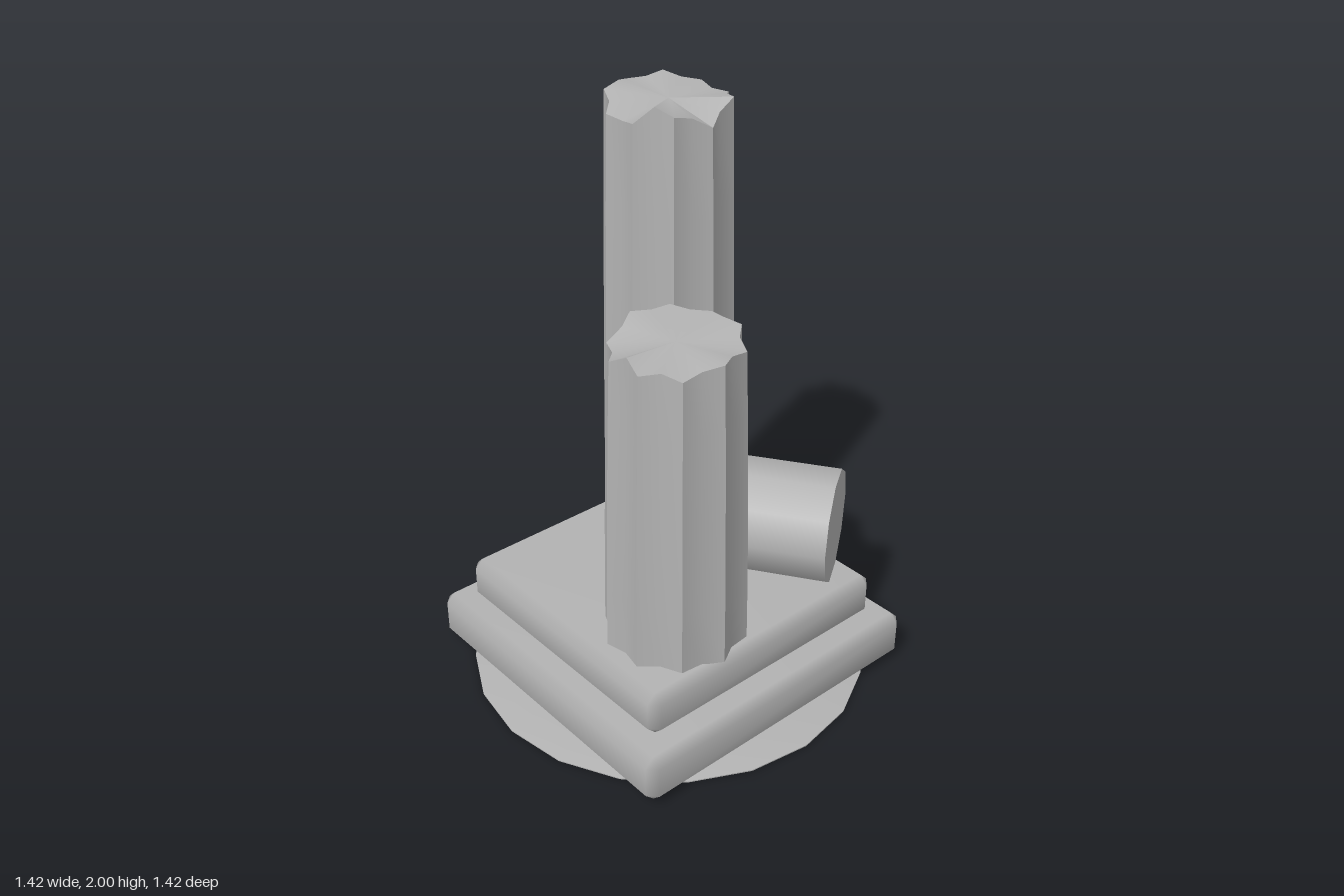
import * as THREE from 'three';
import { mergeVertices, toCreasedNormals } from 'three/addons/utils/BufferGeometryUtils.js';
import { ConvexGeometry } from 'three/addons/geometries/ConvexGeometry.js';

// Block with every edge chamfered by b and softly shaded
function chamferedBlock(w, h, d, b) {
  const points = [];
  for (const sx of [-1, 1]) for (const sy of [-1, 1]) for (const sz of [-1, 1]) {
    const x = w / 2, y = h / 2, z = d / 2;
    points.push(new THREE.Vector3(sx * x, sy * (y - b), sz * (z - b)));
    points.push(new THREE.Vector3(sx * (x - b), sy * y, sz * (z - b)));
    points.push(new THREE.Vector3(sx * (x - b), sy * (y - b), sz * z));
  }
  const hull = new ConvexGeometry(points);
  hull.deleteAttribute('normal');
  const geometry = mergeVertices(hull, 1e-4);
  geometry.computeVertexNormals();
  return geometry;
}

// Fluted, tapering shaft; rim holds the height of each point of the broken top
function brokenShaft(bottomRadius, topRadius, rim) {
  const n = rim.length, rows = 5, positions = [], index = [];
  for (let i = 0; i <= rows; i++) {
    const t = i / rows;
    const r = bottomRadius + (topRadius - bottomRadius) * Math.pow(t, 1.4);
    for (let k = 0; k < n; k++) {
      const a = (k / n) * Math.PI * 2;
      const radius = r * (k % 2 ? 0.885 : 1);
      positions.push(Math.cos(a) * radius, rim[k] * t, Math.sin(a) * radius);
    }
  }
  for (let i = 0; i < rows; i++) for (let k = 0; k < n; k++) {
    const a = i * n + k, b = i * n + (k + 1) % n;
    index.push(a, a + n, b + n, a, b + n, b);
  }
  // Rough cap across the break
  const centre = positions.length / 3;
  positions.push(0, rim.reduce((s, h) => s + h, 0) / n, 0);
  for (let k = 0; k < n; k++) index.push(centre, rows * n + (k + 1) % n, rows * n + k);

  const geometry = new THREE.BufferGeometry();
  geometry.setAttribute('position', new THREE.Float32BufferAttribute(positions, 3));
  geometry.setIndex(index);
  return toCreasedNormals(geometry, 0.6);
}

export function createModel() {
  const group = new THREE.Group();
  const stone = new THREE.MeshStandardMaterial({ color: 0xb2b2b2 });
  stone.name = 'stone';

  const add = (name, geometry, x, y, z) => {
    const mesh = new THREE.Mesh(geometry, stone);
    mesh.name = name;
    mesh.position.set(x, y, z);
    group.add(mesh);
    return mesh;
  };

  // Low mound of earth under the plinth
  const mound = [[0, 0], [0.71, 0], [0.71, 0.004], [0.59, 0.026], [0, 0.03]];
  add('groundMound', toCreasedNormals(
    new THREE.LatheGeometry(mound.map(([x, y]) => new THREE.Vector2(x, y)), 20), 0.6), 0, 0, 0);

  // Two-step plinth
  add('lowerStep', chamferedBlock(1.195, 0.178, 1.19, 0.032), -0.003, 0.098, -0.01);
  add('upperStep', chamferedBlock(1.025, 0.164, 1.025, 0.032), -0.002, 0.268, -0.008);

  // Standing columns with jagged tops
  const base = 0.348;
  const tallRim = [1.925, 1.96, 1.975, 2, 1.945, 1.935, 1.945, 1.965, 1.985, 2,
    1.985, 1.99, 2, 1.985, 1.975, 1.965, 1.965, 1.98, 1.99, 1.955];
  const shortRim = [1.435, 1.42, 1.405, 1.42, 1.41, 1.44, 1.405, 1.4, 1.4, 1.43,
    1.45, 1.45, 1.45, 1.445, 1.44, 1.45, 1.445, 1.435, 1.42, 1.43];
  add('tallColumn', brokenShaft(0.245, 0.215, tallRim.map(h => h - base)), -0.25, base, -0.215);
  add('shortColumn', brokenShaft(0.245, 0.218, shortRim.map(h => h - base)), 0.265, base, 0.2);

  // Fallen column drum lying on its side
  const drum = new THREE.CylinderGeometry(0.207, 0.207, 0.347, 10);
  drum.rotateZ(Math.PI / 2);
  drum.rotateY(0.584);
  add('fallenDrum', drum, 0.26, 0.552, -0.325);

  return group;
}
